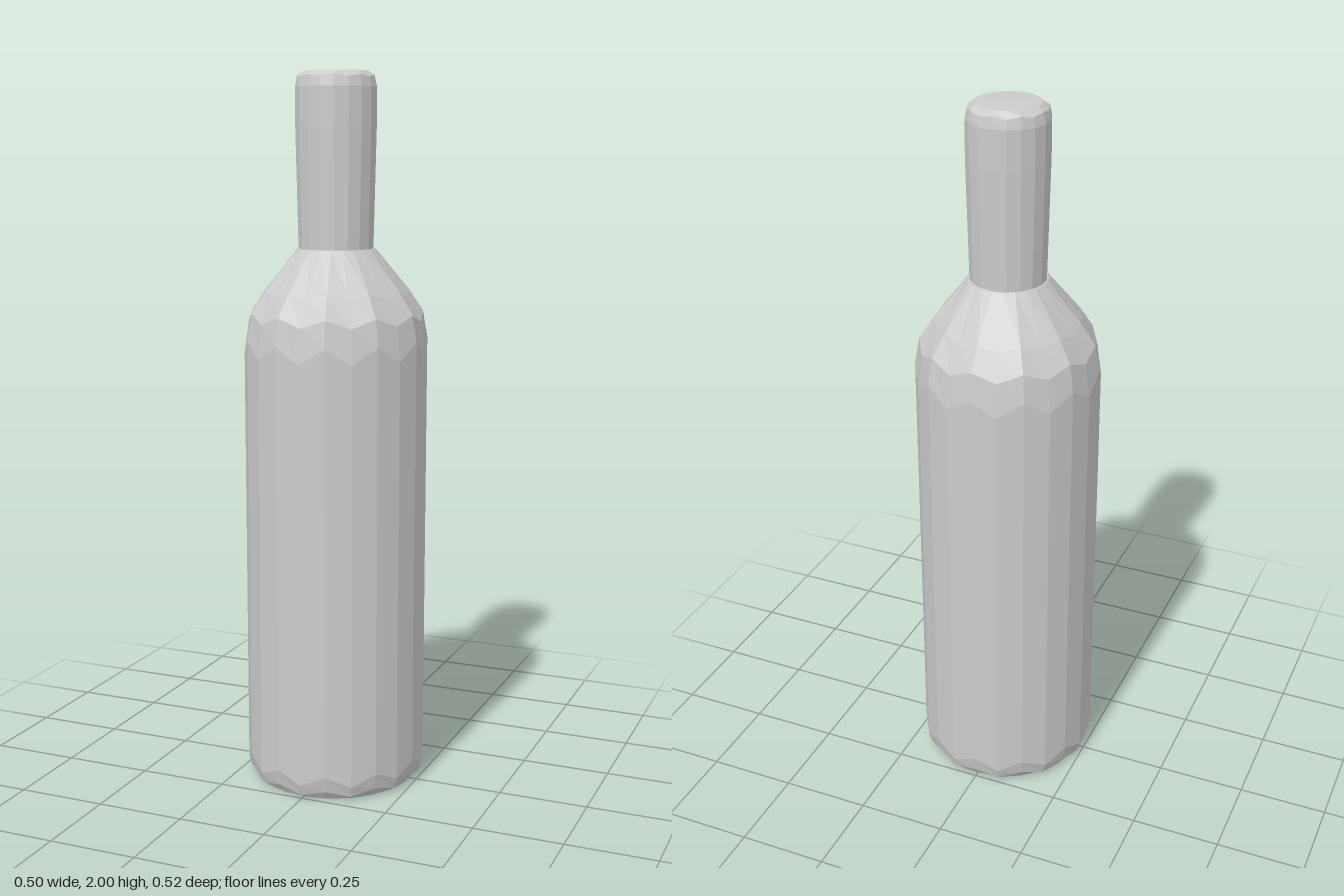
import * as THREE from 'three';

const material = new THREE.MeshStandardMaterial({ color: 0xcccccc, flatShading: true });

// Faceted lathe from [radius, height, waviness] rows; wavy rows shift alternate corners up and down along the slope
function faceted(name, rows, sides, depth) {
  const geometry = new THREE.LatheGeometry(rows.map(([r, y]) => new THREE.Vector2(r, y)), sides);
  const pos = geometry.attributes.position;
  for (let i = 0; i < pos.count; i++) {
    const row = i % rows.length;
    const side = Math.floor(i / rows.length) % sides;
    const wave = rows[row][2] || 0;
    const shift = wave * (side % 2 ? 1 : -1);
    pos.setY(i, pos.getY(i) + shift);
    pos.setZ(i, pos.getZ(i) * depth);
  }
  const mesh = new THREE.Mesh(geometry, material);
  mesh.name = name;
  return mesh;
}

export function createModel() {
  const bottle = new THREE.Group();
  bottle.name = 'bottle';

  // Body with a bevelled foot and a sloping, faceted shoulder
  bottle.add(faceted('body', [
    [0, 0.004],
    [0.228, 0.004],
    [0.244, 0.022, 0.008],
    [0.253, 0.06, 0.015],
    [0.254, 1.25, 0.022],
    [0.241, 1.335, 0.012],
    [0.2, 1.402, 0.006],
    [0.108, 1.52],
    [0, 1.52],
  ], 22, 1.03));

  // Neck flaring slightly towards a rounded, closed top
  bottle.add(faceted('neck', [
    [0, 1.515],
    [0.104, 1.515],
    [0.112, 1.85],
    [0.112, 1.955],
    [0.106, 1.983, 0.003],
    [0.088, 1.997],
    [0, 2],
  ], 18, 1));

  return bottle;
}
